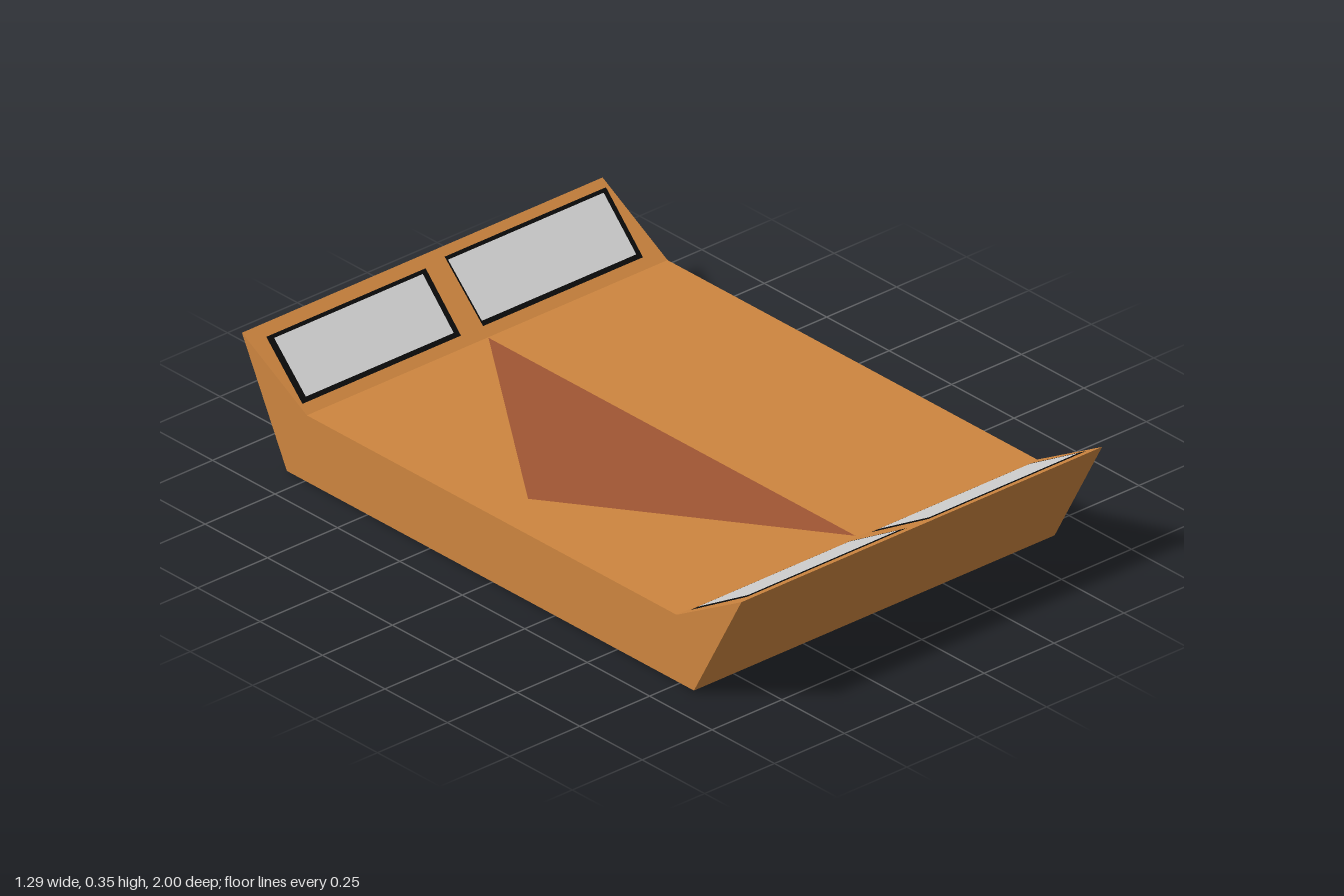
import * as THREE from 'three';

const paint = (name, color) => new THREE.MeshStandardMaterial({ name, color });

export function createModel() {
  const model = new THREE.Group();
  model.name = 'tray';
  const wood = paint('wood', 0xcd853f);
  const darkWood = paint('darkWood', 0xa05633);
  const frameBlack = paint('frameBlack', 0x0a0a0a);
  const glassGrey = paint('glassGrey', 0xd1d1d1);
  const teal = paint('teal', 0x02bccc);

  const add = (name, geometry, material) => {
    const mesh = new THREE.Mesh(geometry, material);
    mesh.name = name;
    model.add(mesh);
    return mesh;
  };

  // Height of the deck and its two raised ends at a given z
  const deckY = (z) => 0.205 + Math.max(0, Math.abs(z) - 0.74) * (0.145 / 0.26);

  // Flat convex plate lying on the deck; points [x, z] run counterclockwise from above
  const plate = (name, points, lift, material) => {
    const positions = [];
    for (let i = 1; i < points.length - 1; i++) {
      for (const [x, z] of [points[0], points[i], points[i + 1]]) {
        positions.push(x, deckY(z) + lift, z);
      }
    }
    const geometry = new THREE.BufferGeometry();
    geometry.setAttribute('position', new THREE.Float32BufferAttribute(positions, 3));
    geometry.computeVertexNormals();
    return add(name, geometry, material);
  };

  // Body: side profile (z, y) extruded across the width
  const profile = new THREE.Shape([
    [0.81, 0.003], [1, 0.35], [0.74, 0.205], [-0.74, 0.205], [-1, 0.35], [-0.82, 0.003],
  ].map(([z, y]) => new THREE.Vector2(z, y)));
  const body = new THREE.ExtrudeGeometry(profile, { depth: 1.29, bevelEnabled: false });
  body.translate(0, 0, -0.645).rotateY(-Math.PI / 2);
  add('body', body, wood);

  // Triangular inlay on the deck
  plate('triangleInlay', [[0, -0.735], [-0.515, 0], [0, 0.735]], 0.002, darkWood);

  // Slanted windows: z range, left and right x at the far and near edges, side borders
  const windows = [
    { name: 'frontRightWindow', z: [0.77, 0.961], far: [-0.623, -0.05], near: [-0.59, -0.02], border: [0.016, 0.016] },
    { name: 'frontLeftWindow', z: [0.77, 0.965], far: [0.023, 0.595], near: [0.055, 0.62], border: [0.016, 0.016] },
    { name: 'backRightWindow', z: [-0.964, -0.77], far: [-0.59, -0.02], near: [-0.634, -0.067], border: [0.02, 0.018] },
    { name: 'backLeftWindow', z: [-0.972, -0.77], far: [0.055, 0.632], near: [0.012, 0.584], border: [0.004, 0.016] },
  ];
  for (const { name, z: [z0, z1], far, near, border } of windows) {
    // Corners of the window with sides and ends pulled in
    const corners = (left, right, end) => {
      const t = end / (z1 - z0);
      const at = (side, u) => THREE.MathUtils.lerp(far[side], near[side], u);
      return [
        [at(0, t) + left, z0 + end], [at(0, 1 - t) + left, z1 - end],
        [at(1, 1 - t) - right, z1 - end], [at(1, t) - right, z0 + end],
      ];
    };
    plate(name + 'Frame', corners(0, 0, 0), 0.002, frameBlack);
    plate(name + 'Pane', corners(border[0], border[1], 0.012), 0.004, glassGrey);
  }

  // Two stripes across the underside
  for (const [name, z] of [['frontStripe', 0.608], ['backStripe', -0.62]]) {
    add(name, new THREE.BoxGeometry(1.265, 0.004, 0.04), teal).position.set(-0.008, 0.002, z);
  }
  return model;
}
